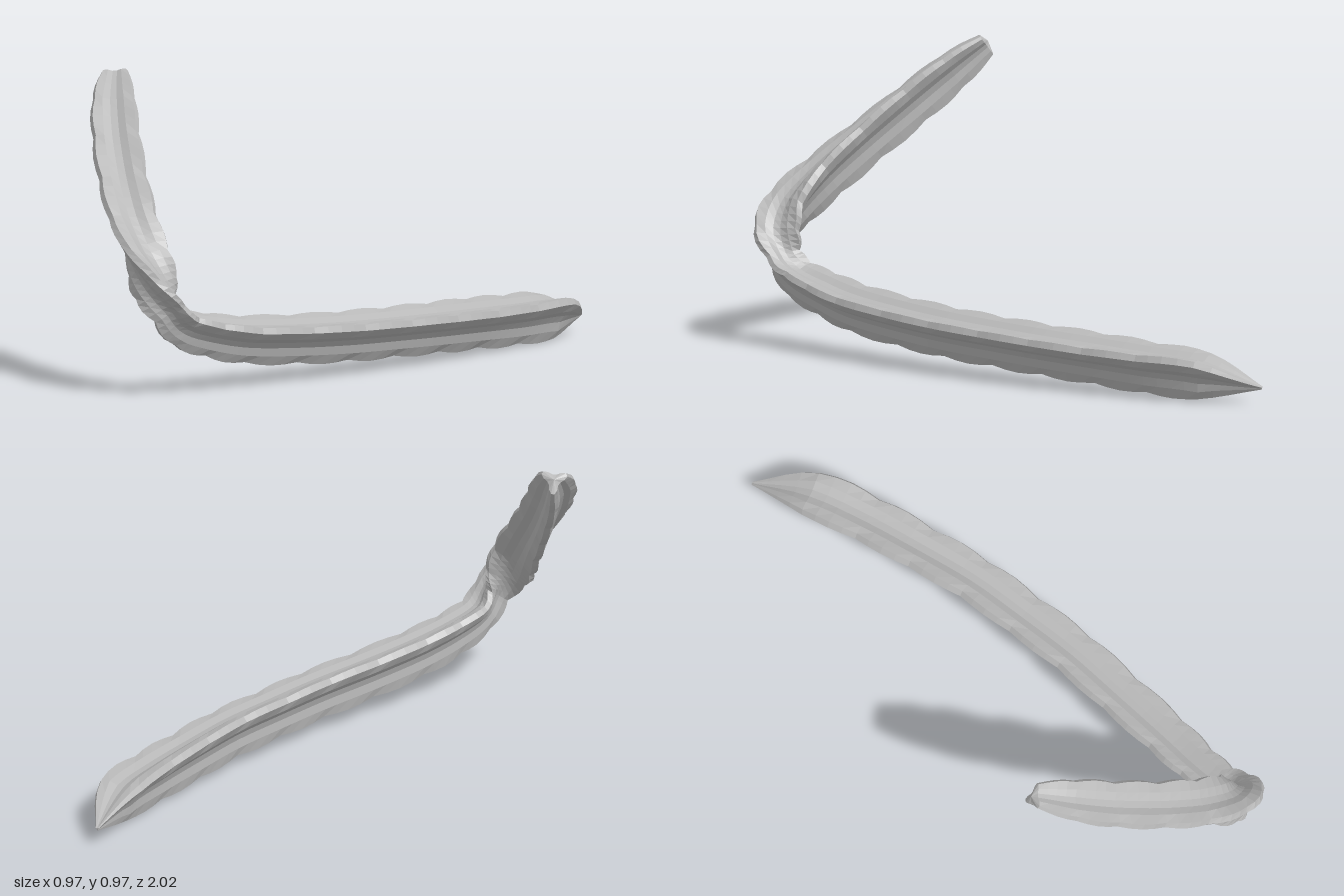
import * as THREE from 'three';

// Stem stations: x, y, z of the centre, wing radius, valley direction
const LOW = [0.18, 0.98, 0], HIGH = [0.27, 0.77, 0.57];
const STATIONS = [
  [[0.36, 0.05, -1], 0.006, LOW],
  [[0.395, 0.087, -0.8], 0.09, [0.05, 1, 0]],
  [[0.397, 0.097, -0.6], 0.092, [0.12, 0.99, 0]],
  [[0.385, 0.107, -0.4], 0.091, LOW],
  [[0.37, 0.116, -0.2], 0.09, LOW],
  [[0.335, 0.123, 0], 0.089, LOW],
  [[0.295, 0.131, 0.2], 0.089, LOW],
  [[0.238, 0.142, 0.4], 0.088, LOW],
  [[0.178, 0.16, 0.6], 0.086, LOW],
  [[0.13, 0.188, 0.74], 0.08, [0.22, 0.95, -0.15]],
  [[0.1, 0.222, 0.85], 0.072, [0.25, 0.85, -0.45]],
  [[0.092, 0.28, 0.91], 0.068, [0.5, 0.5, -0.65]],
  [[0.055, 0.355, 0.935], 0.085, [0.8, 0.5, -0.2]],
  [[-0.01, 0.435, 0.92], 0.09, [0.62, 0.72, 0.2]],
  [[-0.1, 0.532, 0.855], 0.088, [0.43, 0.79, 0.43]],
  [[-0.2, 0.64, 0.76], 0.086, [0.33, 0.78, 0.52]],
  [[-0.3, 0.755, 0.65], 0.084, HIGH],
  [[-0.38, 0.855, 0.55], 0.077, HIGH],
  [[-0.443, 0.938, 0.455], 0.048, HIGH],
];

// Three-winged cross-section: angle in degrees from the valley, relative radius
const SECTION = [];
for (let w = 0; w < 3; w++) {
  for (const [a, r] of [[-18, 0.45], [18, 0.45], [38, 0.71], [53, 1], [67, 1], [82, 0.71]]) {
    SECTION.push([THREE.MathUtils.degToRad(a + w * 120), r]);
  }
}

function buildStem() {
  const vec = (a) => new THREE.Vector3(...a);
  const path = new THREE.CatmullRomCurve3(STATIONS.map((s) => vec(s[0])), false, 'catmullrom', 0.5);
  const last = STATIONS.length - 1, perStation = 4, rings = last * perStation;
  const n = SECTION.length, positions = [], index = [];

  for (let i = 0; i <= rings; i++) {
    const s = i / perStation, k = Math.min(Math.floor(s), last - 1), f = s - k;
    const centre = path.getPoint(i / rings), tangent = path.getTangent(i / rings);
    const radius = THREE.MathUtils.lerp(STATIONS[k][1], STATIONS[k + 1][1], f);
    const valley = vec(STATIONS[k][2]).lerp(vec(STATIONS[k + 1][2]), f);
    valley.addScaledVector(tangent, -valley.dot(tangent)).normalize();
    const side = new THREE.Vector3().crossVectors(tangent, valley);
    // scalloped wing margins, one rounded lobe per station
    const wave = 0.95 + 0.11 * Math.abs(Math.sin(Math.PI * s));
    for (const [a, r] of SECTION) {
      const d = radius * r * (r > 0.9 ? wave : 1);
      const p = centre.clone().addScaledVector(valley, Math.cos(a) * d).addScaledVector(side, Math.sin(a) * d);
      positions.push(p.x, p.y, p.z);
    }
  }
  for (let i = 0; i < rings; i++) {
    for (let j = 0; j < n; j++) {
      const a = i * n + j, b = i * n + (j + 1) % n;
      index.push(a, b, a + n, b, b + n, a + n);
    }
  }
  // end caps
  const start = positions.length / 3, top = rings * n;
  positions.push(...STATIONS[0][0], ...path.getPoint(1).addScaledVector(path.getTangent(1), 0.012).toArray());
  for (let j = 0; j < n; j++) {
    const k = (j + 1) % n;
    index.push(start, k, j, start + 1, top + j, top + k);
  }

  const geometry = new THREE.BufferGeometry();
  geometry.setAttribute('position', new THREE.Float32BufferAttribute(positions, 3));
  geometry.setIndex(index);
  // stand on the ground, centred
  geometry.computeBoundingBox();
  const box = geometry.boundingBox, mid = box.getCenter(new THREE.Vector3());
  geometry.translate(-mid.x, -box.min.y, -mid.z);
  geometry.computeVertexNormals();
  return geometry;
}

export function createModel() {
  const grey = new THREE.MeshStandardMaterial({ color: 0xb8b8b8, flatShading: true });
  grey.name = 'stem grey';
  const stem = new THREE.Mesh(buildStem(), grey);
  stem.name = 'wingedStem';
  const group = new THREE.Group();
  group.name = 'bentCactusStem';
  group.add(stem);
  return group;
}
